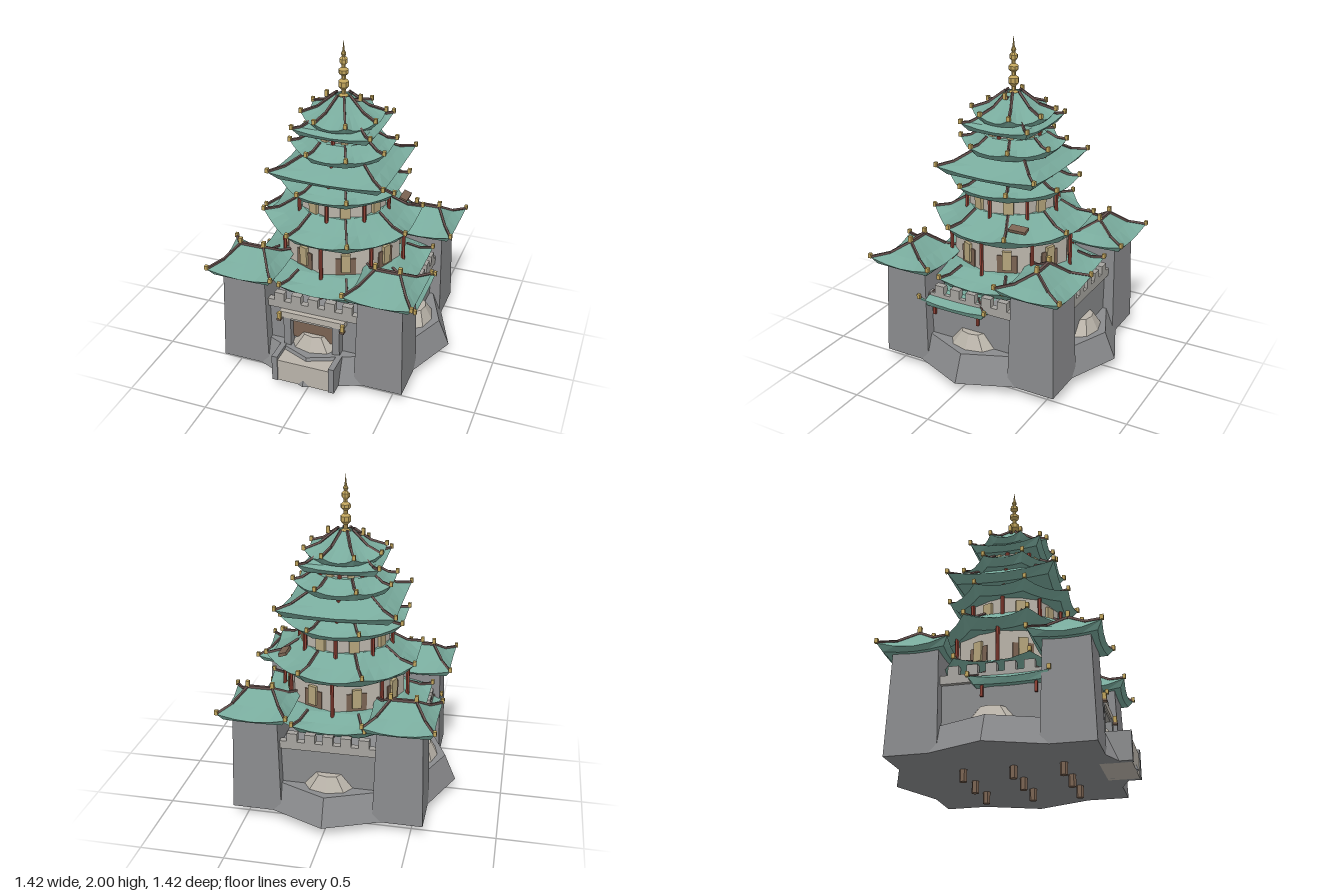
import * as THREE from 'three';

const mat = (name, color, extra = {}) => {
  const m = new THREE.MeshStandardMaterial({ color, flatShading: true, ...extra });
  m.name = name;
  return m;
};
const M = {
  tile: mat('green tile', 0x78aa9c, { side: THREE.DoubleSide }),
  stone: mat('grey stone', 0x8a8b8d),
  plaster: mat('cream plaster', 0xbab4aa),
  parapet: mat('pale stone', 0xa6a49f),
  red: mat('red lacquer', 0x8e4034),
  wood: mat('brown wood', 0x7a6352),
  ridge: mat('dark ridge', 0x65504d),
  gold: mat('gold', 0xc0a45c),
  shutter: mat('tan shutter', 0xb5a57c),
};

function add(parent, name, geo, material, x = 0, y = 0, z = 0) {
  const m = new THREE.Mesh(geo, material);
  m.name = name;
  m.position.set(x, y, z);
  parent.add(m);
  return m;
}
const box = (p, name, m, w, h, d, x, y, z) => add(p, name, new THREE.BoxGeometry(w, h, d), m, x, y, z);

// square bar between two points
function bar(p, name, m, a, b, w) {
  const d = b.clone().sub(a);
  const o = box(p, name, m, w, w, d.length(), 0, 0, 0);
  o.position.copy(a).addScaledVector(d, 0.5);
  o.quaternion.setFromUnitVectors(new THREE.Vector3(0, 0, 1), d.normalize());
  return o;
}

// roof outlines as corner lists
const octagon = (R) => Array.from({ length: 8 }, (_, i) => {
  const a = Math.PI / 8 + i * Math.PI / 4;
  return [R * Math.cos(a), R * Math.sin(a)];
});
const rect = (x, z) => [[x, z], [-x, z], [-x, -z], [x, -z]];

// one ring of roof points: edges sag between lifted corners and bow inward by pinch
function ringPoints({ c, y, lift = 0, pinch = 0 }, segs = 4) {
  const out = [];
  c.forEach(([x0, z0], i) => {
    const [x1, z1] = c[(i + 1) % c.length];
    for (let s = 0; s < segs; s++) {
      const t = s / segs, e = (2 * t - 1) ** 2, k = 1 - pinch * (1 - e);
      out.push(new THREE.Vector3((x0 + (x1 - x0) * t) * k, y + lift * e, (z0 + (z1 - z0) * t) * k));
    }
  });
  return out;
}

function loft(rings) {
  const P = rings.map((r) => ringPoints(r)), pos = [];
  for (let r = 0; r < P.length - 1; r++) {
    const n = P[r].length;
    for (let i = 0; i < n; i++) {
      const j = (i + 1) % n, a = P[r][i], b = P[r][j], c = P[r + 1][i], d = P[r + 1][j];
      for (const v of [a, d, c, a, b, d]) pos.push(v.x, v.y, v.z);
    }
  }
  const g = new THREE.BufferGeometry();
  g.setAttribute('position', new THREE.Float32BufferAttribute(pos, 3));
  g.computeVertexNormals();
  return g;
}

// upturned roof with hip ribs and gold tips
function roof(parent, name, top, eave, { yTop, yEave, yLow, lift, pinch = 0.02, rib = 0.013 }) {
  const g = new THREE.Group();
  g.name = name;
  parent.add(g);
  const mix = (f) => top.map(([x, z], i) => [x + (eave[i][0] - x) * f, z + (eave[i][1] - z) * f]);
  const scale = (k) => eave.map(([x, z]) => [x * k, z * k]);
  const rings = [
    { c: scale(0.02), y: yTop },
    { c: top, y: yTop },
    { c: mix(0.5), y: yEave + (yTop - yEave) * 0.42, lift: lift * 0.2, pinch: pinch * 0.5 },
    { c: eave, y: yEave, lift, pinch },
    { c: scale(0.86), y: yLow, lift: lift * 0.3, pinch },
    { c: scale(0.02), y: yLow + 0.01 },
  ];
  if (top[0][1] < 0.02) rings.shift();
  add(g, 'roofTiles', loft(rings), M.tile);
  const up = 0.005;
  eave.forEach((_, i) => {
    const v = ([x, z], y) => new THREE.Vector3(x, y + up, z);
    const a = v(top[i], yTop), b = v(mix(0.5)[i], yEave + (yTop - yEave) * 0.42 + lift * 0.2), c = v(eave[i], yEave + lift);
    bar(g, 'hipRib', M.ridge, a, b, rib);
    bar(g, 'hipRib', M.ridge, b, c, rib);
    box(g, 'ribTip', M.gold, 0.02, 0.028, 0.02, c.x, c.y + 0.008, c.z);
  });
  return g;
}

// octagonal storey with corner columns and one window per face
function storey(parent, R, y0, y1, win) {
  const g = new THREE.Group(), h = y1 - y0, ym = (y0 + y1) / 2;
  g.name = 'storey';
  parent.add(g);
  add(g, 'storeyWall', new THREE.CylinderGeometry(R * 0.94, R * 0.94, h, 8), M.plaster, 0, ym, 0);
  for (let i = 0; i < 8; i++) {
    const a = i * Math.PI / 4, f = a + Math.PI / 8, ap = R * 0.94 * Math.cos(Math.PI / 8);
    add(g, 'column', new THREE.CylinderGeometry(0.012, 0.012, h, 6), M.red, R * Math.sin(a), ym, R * Math.cos(a));
    if (!win) continue;
    const face = new THREE.Group();
    face.name = 'window';
    face.position.set(ap * Math.sin(f), 0, ap * Math.cos(f));
    face.rotation.y = f;
    g.add(face);
    if (win.panel) box(face, 'woodPanel', M.wood, win.w * 2.2, win.h, 0.008, 0, win.y - 0.03, 0.003);
    box(face, 'shutter', M.shutter, win.w, win.h, 0.02, 0, win.y, 0.01);
  }
}

function tower(parent, sx, sz) {
  const g = new THREE.Group();
  g.name = 'cornerTower';
  g.position.set(sx * 0.425, 0, sz * 0.425);
  parent.add(g);
  const body = new THREE.CylinderGeometry(0.133 * Math.SQRT2, 0.15 * Math.SQRT2, 0.61, 4);
  body.rotateY(Math.PI / 4);
  add(g, 'towerBody', body, M.stone, 0, 0.375, 0);
  roof(g, 'towerRoof', rect(0.075, 0.006), rect(0.205, 0.205),
    { yTop: 0.8, yEave: 0.675, yLow: 0.655, lift: 0.035, pinch: 0.06 });
  box(g, 'towerRidge', M.ridge, 0.16, 0.018, 0.018, 0, 0.805, 0);
  for (const s of [-1, 1]) box(g, 'ridgeEnd', M.gold, 0.022, 0.035, 0.022, s * 0.075, 0.825, 0);
}

export function createModel() {
  const model = new THREE.Group();
  model.name = 'fortressPagoda';

  // stone base on short wooden piles
  add(model, 'baseBastion', new THREE.CylinderGeometry(0.64, 0.71, 0.165, 8), M.stone, 0, 0.1525, 0);
  box(model, 'curtainWall', M.stone, 1.0, 0.42, 1.0, 0, 0.28, 0);
  for (const x of [-0.24, 0, 0.24]) for (const z of [-0.23, 0.055, 0.335])
    add(model, 'pile', new THREE.CylinderGeometry(0.022, 0.022, 0.08, 6), M.wood, x, 0.04, z);

  // parapets and buttress caps on all four sides
  for (let i = 0; i < 4; i++) {
    const side = new THREE.Group();
    side.name = 'wallSide';
    side.rotation.y = i * Math.PI / 2;
    model.add(side);
    box(side, 'parapet', M.parapet, 0.58, 0.05, 0.04, 0, 0.495, 0.505);
    for (let k = -2; k <= 2; k++) box(side, 'merlon', M.parapet, 0.062, 0.055, 0.04, k * 0.107, 0.545, 0.505);
    const cap = add(side, 'buttressCap', new THREE.CylinderGeometry(0.075, 0.145, 0.085, 8), M.plaster, 0, 0.2775, 0.5);
    cap.scale.z = 0.62;
  }

  for (const sx of [-1, 1]) for (const sz of [-1, 1]) tower(model, sx, sz);

  // front gate and forecourt
  const gate = new THREE.Group();
  gate.name = 'frontGate';
  model.add(gate);
  box(gate, 'forecourt', M.plaster, 0.33, 0.145, 0.18, 0, 0.1425, 0.605);
  box(gate, 'gateDoor', M.wood, 0.27, 0.14, 0.02, 0, 0.345, 0.503);
  box(gate, 'gateBeam', M.plaster, 0.41, 0.04, 0.06, 0, 0.448, 0.525);
  box(gate, 'gateHeader', M.parapet, 0.35, 0.02, 0.05, 0, 0.42, 0.52);
  for (const s of [-1, 1]) {
    box(gate, 'forecourtWall', M.stone, 0.035, 0.17, 0.15, s * 0.18, 0.155, 0.627);
    box(gate, 'gatePost', M.stone, 0.045, 0.36, 0.06, s * 0.155, 0.25, 0.525);
    box(gate, 'lantern', M.gold, 0.022, 0.045, 0.022, s * 0.2, 0.443, 0.565);
    box(gate, 'lanternBase', M.wood, 0.028, 0.012, 0.028, s * 0.2, 0.42, 0.565);
  }

  // small side roofs beside the front towers
  for (const s of [-1, 1]) {
    const r = roof(model, 'sideRoof', rect(0.045, 0.14), rect(0.13, 0.225),
      { yTop: 0.535, yEave: 0.465, yLow: 0.435, lift: 0.02, rib: 0.01 });
    r.position.set(s * 0.44, 0, 0.105);
    for (const z of [-0.05, 0.25]) box(model, 'roofBracket', M.red, 0.016, 0.07, 0.016, s * 0.525, 0.415, z);
  }

  // storeys
  storey(model, 0.39, 0.5, 0.86, { y: 0.735, w: 0.055, h: 0.12, panel: true });
  storey(model, 0.29, 0.93, 1.12, { y: 1.03, w: 0.06, h: 0.085 });
  storey(model, 0.25, 1.12, 1.22);
  storey(model, 0.205, 1.25, 1.345, { y: 1.31, w: 0.05, h: 0.06 });
  storey(model, 0.175, 1.37, 1.47, { y: 1.43, w: 0.04, h: 0.04 });
  storey(model, 0.15, 1.48, 1.53);

  // roofs from the lowest to the highest
  roof(model, 'skirtRoof', octagon(0.4), octagon(0.565), { yTop: 0.655, yEave: 0.585, yLow: 0.535, lift: 0.035 });
  roof(model, 'mainRoof', octagon(0.29), octagon(0.49), { yTop: 0.995, yEave: 0.88, yLow: 0.835, lift: 0.04 });
  roof(model, 'secondRoof', octagon(0.27), octagon(0.4), { yTop: 1.185, yEave: 1.13, yLow: 1.09, lift: 0.025 });
  roof(model, 'thirdRoof', rect(0.19, 0.175), rect(0.355, 0.325), { yTop: 1.325, yEave: 1.225, yLow: 1.19, lift: 0.03, pinch: 0.04 });
  roof(model, 'fourthRoof', octagon(0.2), octagon(0.318), { yTop: 1.425, yEave: 1.355, yLow: 1.317, lift: 0.025 });
  roof(model, 'fifthRoof', rect(0.155, 0.14), rect(0.24, 0.22), { yTop: 1.53, yEave: 1.475, yLow: 1.447, lift: 0.028, pinch: 0.04 });
  roof(model, 'topRoof', octagon(0.05), octagon(0.25), { yTop: 1.67, yEave: 1.53, yLow: 1.503, lift: 0.03 });

  // small vent on the main roof
  const vent = box(model, 'roofVent', M.wood, 0.05, 0.02, 0.11, 0.33, 0.955, -0.215);
  vent.rotation.z = -0.3;

  // crest beam and spire
  for (const s of [-1, 1]) {
    bar(model, 'crestBeam', M.ridge, new THREE.Vector3(0, 1.635, 0), new THREE.Vector3(s * 0.105, 1.65, 0), 0.016);
    box(model, 'crestEnd', M.gold, 0.02, 0.038, 0.02, s * 0.105, 1.663, 0);
  }
  const profile = [[0.03, 1.63], [0.03, 1.665], [0.014, 1.675], [0.014, 1.7], [0.032, 1.72], [0.032, 1.75], [0.014, 1.765],
    [0.014, 1.785], [0.03, 1.8], [0.03, 1.82], [0.012, 1.835], [0.012, 1.85], [0.025, 1.865], [0.025, 1.885], [0.01, 1.9],
    [0.016, 1.915], [0.007, 1.935], [0, 2.0]].map(([x, y]) => new THREE.Vector2(x, y));
  add(model, 'spire', new THREE.LatheGeometry(profile, 8), M.gold);

  return model;
}
